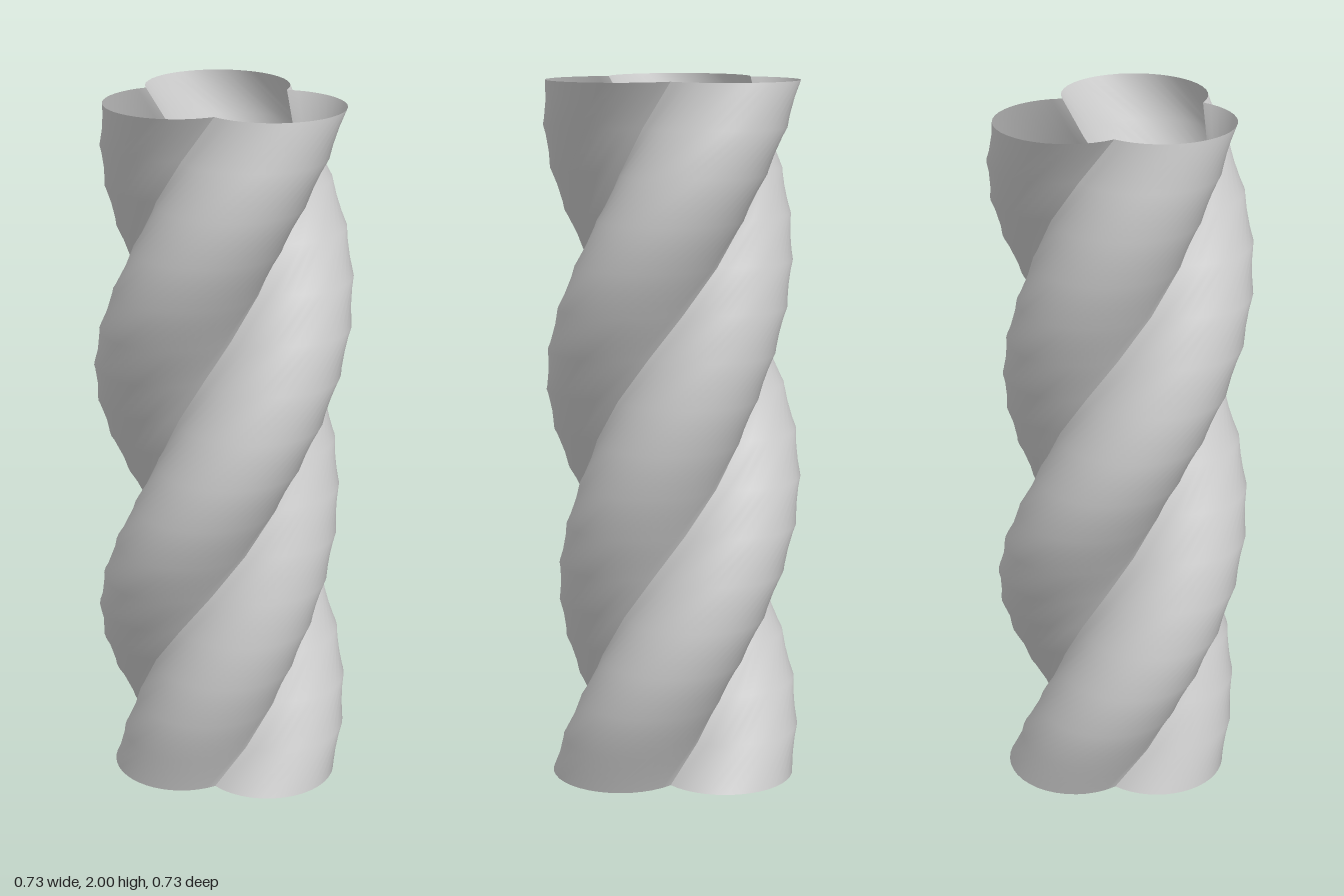
import * as THREE from 'three';

const HEIGHT = 2, STEPS = 16, ARC_SEGMENTS = 24, RADIUS = 0.201;
// Lobe centres [x, z] of the cross-section, anticlockwise seen from above
const CENTRES = [[0.065, 0.15], [0.065, -0.15], [-0.134, -0.01]];

// Outer crossing point of two neighbouring lobe circles
function cusp([ax, az], [bx, bz]) {
  const dx = bx - ax, dz = bz - az, d = Math.hypot(dx, dz);
  const h = Math.sqrt(RADIUS * RADIUS - d * d / 4);
  return [(ax + bx) / 2 + h * dz / d * -1, (az + bz) / 2 + h * dx / d];
}

// Of the two crossings, keep the one farther from the axis
function outerCusp(a, b) {
  const p = cusp(a, b), q = cusp(b, a);
  return Math.hypot(...p) > Math.hypot(...q) ? p : q;
}

// One lobe: an open circular arc swept upward through a full turn
function lobeGeometry(i) {
  const c = CENTRES[i];
  const from = outerCusp(CENTRES[(i + 2) % 3], c), to = outerCusp(c, CENTRES[(i + 1) % 3]);
  const start = Math.atan2(from[0] - c[0], from[1] - c[1]);
  let end = Math.atan2(to[0] - c[0], to[1] - c[1]);
  if (end < start) end += Math.PI * 2;

  const geometry = new THREE.PlaneGeometry(1, 1, ARC_SEGMENTS, STEPS);
  const pos = geometry.attributes.position;
  const v = new THREE.Vector3(), up = new THREE.Vector3(0, 1, 0);
  for (let k = 0; k < pos.count; k++) {
    const a = start + (end - start) * (pos.getX(k) + 0.5);
    const t = pos.getY(k) + 0.5;
    v.set(c[0] + RADIUS * Math.sin(a), t * HEIGHT, c[1] + RADIUS * Math.cos(a));
    v.applyAxisAngle(up, t * Math.PI * 2);
    pos.setXYZ(k, v.x, v.y, v.z);
  }
  geometry.computeVertexNormals();
  return geometry;
}

export function createModel() {
  const group = new THREE.Group();
  group.name = 'twistedColumn';
  const material = new THREE.MeshStandardMaterial({ color: 0xcccccc, side: THREE.DoubleSide });
  ['frontLobe', 'backLobe', 'rightLobe'].forEach((name, i) => {
    const mesh = new THREE.Mesh(lobeGeometry(i), material);
    mesh.name = name;
    group.add(mesh);
  });
  return group;
}
